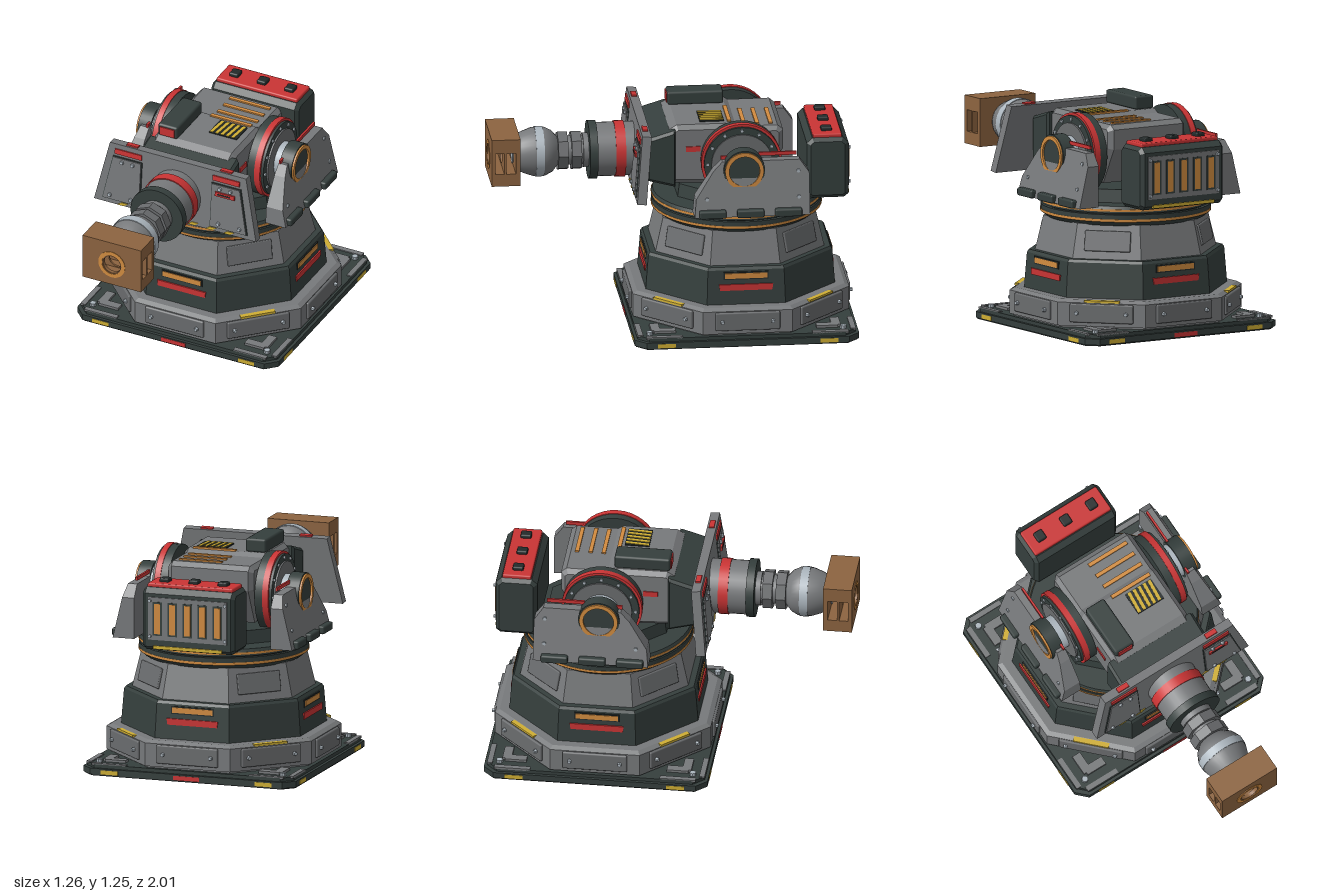
import * as THREE from 'three';
import { toCreasedNormals } from 'three/addons/utils/BufferGeometryUtils.js';
import { RoundedBoxGeometry } from 'three/addons/geometries/RoundedBoxGeometry.js';

const mat = (name, color) => Object.assign(new THREE.MeshStandardMaterial({ color }), { name });
const M = {
  gray: mat('armour gray', 0x77797b), pale: mat('panel gray', 0x6a6c6e), dark: mat('dark metal', 0x353f3d),
  black: mat('underside black', 0x232a2a), red: mat('red', 0xca3434), orange: mat('orange', 0xd28c40),
  yellow: mat('yellow', 0xcfae33), tan: mat('bronze', 0x8d6440), steel: mat('steel', 0xacb6be),
};
const PI = Math.PI;

function add(parent, name, geo, material, x = 0, y = 0, z = 0) {
  const m = new THREE.Mesh(geo, material);
  m.name = name;
  m.position.set(x, y, z);
  parent.add(m);
  return m;
}
function group(parent, name, x = 0, y = 0, z = 0) {
  const g = new THREE.Group();
  g.name = name;
  g.position.set(x, y, z);
  parent.add(g);
  return g;
}
const box = (p, n, m, w, h, d, x, y, z) => add(p, n, new THREE.BoxGeometry(w, h, d), m, x, y, z);
const soft = (p, n, m, w, h, d, x, y, z, r = 0.012) => add(p, n, new RoundedBoxGeometry(w, h, d, 1, r), m, x, y, z);

// Cylinder along a chosen axis, r0 at the low end and r1 at the high end
function cyl(p, n, m, r0, r1, len, axis, x, y, z, seg = 32) {
  let g = new THREE.CylinderGeometry(r1, r0, len, seg);
  if (axis === 'x') g.rotateZ(-PI / 2);
  if (axis === 'z') g.rotateX(PI / 2);
  if (seg < 12) { g = g.toNonIndexed(); g.computeVertexNormals(); }
  return add(p, n, g, m, x, y, z);
}
// Octagonal tier with flats facing the axes
function tier(p, n, m, a0, a1, y0, y1) {
  const k = Math.cos(PI / 8);
  const t = cyl(p, n, m, a0 / k, a1 / k, y1 - y0, 'y', 0, (y0 + y1) / 2, 0, 8);
  t.rotation.y = PI / 8;
}
const shape = (pts) => new THREE.Shape(pts.map(([x, y]) => new THREE.Vector2(x, y)));
const plate = (pts, depth) => new THREE.ExtrudeGeometry(shape(pts), { depth, bevelEnabled: false });
// Side profile given as (z, y), extruded across x and centred
function across(pts, width, bevel = 0) {
  const g = new THREE.ExtrudeGeometry(shape(pts.map(([z, y]) => [-z, y])), {
    depth: width - 2 * bevel, bevelEnabled: bevel > 0, bevelSize: bevel, bevelThickness: bevel, bevelOffset: -bevel, bevelSegments: 1 });
  return g.rotateY(PI / 2).translate(bevel - width / 2, 0, 0);
}
const ringGeo = (ro, ri, depth) => {
  const s = new THREE.Shape().absarc(0, 0, ro, 0, PI * 2);
  s.holes.push(new THREE.Path().absarc(0, 0, ri, 0, PI * 2, true));
  return new THREE.ExtrudeGeometry(s, { depth, bevelEnabled: false, curveSegments: 24 });
};

function buildBase(root) {
  const b = group(root, 'base', 0, 0, -0.375);
  // Square foot plate with clipped corners
  const square = (h, c) => [[-h + c, -h], [h - c, -h], [h, -h + c], [h, h - c], [h - c, h], [-h + c, h], [-h, h - c], [-h, -h + c]];
  add(b, 'underside', plate(square(0.615, 0.06), 0.008).rotateX(-PI / 2), M.black, 0, 0.003, 0);
  add(b, 'footPlate', plate(square(0.622, 0.06), 0.034).rotateX(-PI / 2), M.dark, 0, 0.01, 0);
  add(b, 'footPlateTop', plate(square(0.605, 0.06), 0.02).rotateX(-PI / 2), M.dark, 0, 0.044, 0);
  add(b, 'undersideRing', ringGeo(0.19, 0.16, 0.004).rotateX(PI / 2), M.orange, 0, 0.004, 0);
  cyl(b, 'undersideCap', M.pale, 0.07, 0.07, 0.004, 'y', 0, 0.002, 0);
  // Tiers
  tier(b, 'lowerSkirt', M.gray, 0.58, 0.58, 0.06, 0.075);
  tier(b, 'lowerTier', M.gray, 0.6, 0.6, 0.075, 0.205);
  tier(b, 'lowerTierCap', M.gray, 0.6, 0.575, 0.205, 0.22);
  tier(b, 'middleTier', M.dark, 0.525, 0.51, 0.22, 0.415);
  tier(b, 'middleTierCap', M.dark, 0.51, 0.5, 0.415, 0.43);
  tier(b, 'upperTier', M.gray, 0.468, 0.425, 0.43, 0.62);
  for (let k = 0; k < 8; k++) {
    const f = group(b, 'baseFace');
    f.rotation.y = k * PI / 4;
    soft(f, 'skirtPanel', M.pale, 0.36, 0.105, 0.03, 0, 0.148, 0.599, 0.008);
    for (const s of [-1, 1]) cyl(f, 'panelBolt', M.steel, 0.013, 0.01, 0.02, 'z', s * 0.14, 0.148, 0.62, 6);
    if (k % 2) {
      box(f, 'edgeStripe', M.yellow, 0.2, 0.012, 0.03, 0, 0.213, 0.59);
      const p = soft(f, 'upperPanel', M.pale, 0.26, 0.115, 0.02, 0, 0.528, 0.447, 0.006);
      p.rotation.x = -0.22;
      cyl(f, 'footBolt', M.steel, 0.018, 0.018, 0.02, 'y', 0, 0.072, 0.76, 8);
      cyl(f, 'undersideBolt', M.dark, 0.022, 0.022, 0.004, 'y', 0, 0.002, 0.6, 12);
    } else {
      add(f, 'redMark', plate([[-0.15, 0.335], [-0.145, 0.3], [0.145, 0.3], [0.15, 0.335]], 0.012), M.red, 0, 0, 0.512);
      box(f, 'slotFrame', M.black, 0.25, 0.044, 0.01, 0, 0.383, 0.512);
      box(f, 'orangeSlot', M.orange, 0.235, 0.03, 0.014, 0, 0.383, 0.514);
      if (k === 0 || k === 4) box(f, 'plateRedMark', M.red, 0.15, 0.025, 0.006, 0, 0.024, 0.621);
      for (const s of [-1, 1]) {
        box(f, 'plateYellowMark', M.yellow, 0.1, 0.024, 0.006, s * 0.45, 0.024, 0.621);
        box(f, 'plateTrim', M.gray, 0.2, 0.012, 0.03, s * 0.46, 0.064, 0.59);
        box(f, 'skirtFoot', M.gray, 0.12, 0.02, 0.05, s * 0.45, 0.068, 0.5);
      }
    }
  }
  // Slewing ring
  const rings = [[0.44, 0.47, 0.615, 0.64, 'dark'], [0.472, 0.472, 0.64, 0.654, 'orange'], [0.47, 0.47, 0.654, 0.68, 'dark'],
    [0.45, 0.45, 0.68, 0.688, 'black'], [0.47, 0.47, 0.688, 0.698, 'dark'], [0.472, 0.472, 0.698, 0.71, 'orange'], [0.47, 0.462, 0.71, 0.727, 'dark']];
  for (const [r0, r1, y0, y1, m] of rings) cyl(b, 'slewingRing', M[m], r0, r1, y1 - y0, 'y', 0, (y0 + y1) / 2, 0, 56);
  tier(b, 'turretDeck', M.dark, 0.34, 0.33, 0.727, 0.8);
}

function buildSide(turret, s) {
  const g = group(turret, s > 0 ? 'leftSide' : 'rightSide');
  // Elevation wheel and hub
  const wheel = [[0.22, 0.255, 0.3, 'dark'], [0.224, 0.3, 0.335, 'red'], [0.21, 0.33, 0.35, 'dark'], [0.17, 0.35, 0.36, 'pale'],
    [0.1, 0.36, 0.4, 'steel'], [0.115, 0.4, 0.475, 'dark']];
  for (const [r, x0, x1, m] of wheel) cyl(g, 'elevationWheel', M[m], r, r, x1 - x0, 'x', s * (x0 + x1) / 2, 0.98, -0.37, 36);
  add(g, 'hubRing', ringGeo(0.107, 0.085, 0.012).rotateY(PI / 2), M.orange, s * 0.48 - 0.006, 0.98, -0.37);
  for (let i = 0; i < 12; i++) {
    const a = i * PI / 6;
    cyl(g, 'wheelBolt', M.steel, 0.01, 0.01, 0.01, 'x', s * 0.353, 0.98 + 0.19 * Math.sin(a), -0.37 + 0.19 * Math.cos(a), 6);
  }
  // Cheek bracket whose outer face leans inwards
  const outer = (y) => 0.525 - (y - 0.73) * 0.24;
  const geo = across([[-0.09, 0.73], [-0.1, 0.83], [-0.2, 0.98], [-0.25, 1.03], [-0.68, 1.03], [-0.73, 0.96], [-0.73, 0.73]], 1, 0);
  const p = geo.attributes.position;
  for (let i = 0; i < p.count; i++) {
    const u = p.getX(i) + 0.5, o = outer(p.getY(i));
    p.setX(i, s > 0 ? 0.4 + (o - 0.4) * u : -o + (o - 0.4) * u);
  }
  geo.computeVertexNormals();
  add(g, 'cheekBracket', geo, M.gray);
  for (const z of [-0.19, -0.4, -0.61]) soft(g, 'bracketClip', M.dark, 0.045, 0.045, 0.15, s * 0.525, 0.75, z, 0.01);
  for (const [z, y] of [[-0.16, 0.83], [-0.67, 0.83], [-0.67, 0.97]])
    cyl(g, 'bracketBolt', M.steel, 0.011, 0.011, 0.014, 'x', s * outer(y), y, z, 6);
  box(g, 'redRail', M.red, 0.012, 0.02, 0.21, s * 0.41, 1.055, -0.56);
  box(g, 'redRail', M.red, 0.012, 0.02, 0.11, s * 0.41, 1.04, -0.3);
  box(g, 'bodyRedStripe', M.red, 0.008, 0.03, 0.08, s * 0.252, 1.04, -0.11);
}

function buildShield(turret) {
  const g = group(turret, 'shield', 0, 0.995, 0.182);
  g.rotation.x = -0.1;
  const F = 0.026;
  add(g, 'shieldPlate', plate([[-0.5, -0.185], [0.5, -0.185], [0.42, 0.185], [-0.42, 0.185]], 2 * F), M.gray, 0, 0, -F);
  for (const s of [-1, 1]) {
    const mirror = (pts) => pts.map(([x, y]) => [s * x, y]);
    add(g, 'shieldPanelEdge', plate(mirror([[0.215, -0.16], [0.448, -0.16], [0.395, 0.112], [0.215, 0.112]]), 0.006), M.dark, 0, 0, F);
    add(g, 'shieldPanel', plate(mirror([[0.22, -0.155], [0.442, -0.155], [0.39, 0.107], [0.22, 0.107]]), 0.012), M.gray, 0, 0, F);
    box(g, 'redBar', M.red, 0.165, 0.03, 0.012, s * 0.302, 0.142, F + 0.002);
    box(g, 'topRedTab', M.red, 0.07, 0.012, 0.03, s * 0.29, 0.187, 0);
    for (const [x, y] of [[0.27, 0.085], [0.335, 0.085], [0.27, -0.13], [0.4, -0.13]])
      cyl(g, 'shieldBolt', M.steel, 0.013, 0.01, 0.016, 'z', s * x, y, F + 0.015, 8);
    for (const x of [0.08, 0.19, 0.3])
      add(g, 'hazardStripe', plate([[0, -0.183], [0.04, -0.183], [0.065, -0.166], [0.025, -0.166]], 0.005), M.yellow, s > 0 ? x : -x - 0.055, 0, F);
  }
  box(g, 'redLatch', M.red, 0.12, 0.025, 0.02, 0.305, 0.055, F + 0.012);
  box(g, 'latchSlot', M.black, 0.08, 0.008, 0.022, 0.3, 0.055, F + 0.013);
}

function buildBody(turret) {
  add(turret, 'gunHousing', across([[0.02, 0.84], [0.02, 1.15], [-0.02, 1.175], [-0.32, 1.175], [-0.35, 1.155], [-0.58, 1.155], [-0.61, 1.13], [-0.61, 1.02], [-0.5, 0.82]], 0.5, 0.025), M.gray);
  add(turret, 'mantlet', across([[0.15, 0.87], [0.15, 1.11], [0.0, 1.155], [-0.01, 1.155], [-0.01, 0.83], [0.0, 0.83]], 0.56, 0.015), M.dark);
  for (let i = 0; i < 4; i++) box(turret, 'ventSlot', M.orange, 0.25, 0.01, 0.022, 0.075, i ? 1.158 : 1.178, [-0.315, -0.397, -0.47, -0.545][i]);
  // Hazard patch
  box(turret, 'hazardPatch', M.black, 0.17, 0.006, 0.135, 0.105, 1.178, -0.22);
  for (let i = 0; i < 5; i++)
    add(turret, 'hazardBar', plate([[0, -0.065], [0.018, -0.065], [0.03, 0.065], [0.012, 0.065]], 0.005).rotateX(-PI / 2), M.yellow, 0.022 + i * 0.033, 1.179, -0.22);
  // Sight box
  soft(turret, 'sightBox', M.dark, 0.12, 0.075, 0.31, -0.163, 1.212, -0.16, 0.012);
  box(turret, 'sightWindow', M.red, 0.09, 0.05, 0.008, -0.163, 1.21, -0.003);
}

function buildRearBox(turret) {
  const g = group(turret, 'rearBox', 0, 0, -0.855);
  add(g, 'case', across([[0.115, 0.75], [0.115, 1.05], [0.085, 1.08], [-0.085, 1.08], [-0.115, 1.05], [-0.115, 0.75], [-0.09, 0.73], [0.09, 0.73]], 0.54, 0.02), M.dark);
  soft(g, 'redLid', M.red, 0.5, 0.03, 0.16, 0, 1.085, 0, 0.008);
  for (const x of [-0.17, 0, 0.17]) soft(g, 'lidKnob', M.black, 0.055, 0.03, 0.06, x, 1.105, 0, 0.008);
  box(g, 'backPanel', M.gray, 0.46, 0.24, 0.012, 0, 0.91, -0.115);
  for (let i = -2; i <= 2; i++) {
    box(g, 'ventFrame', M.dark, 0.056, 0.19, 0.008, i * 0.088, 0.91, -0.12);
    box(g, 'ventOrange', M.orange, 0.036, 0.17, 0.01, i * 0.088, 0.91, -0.122);
  }
  for (const x of [-0.22, 0.22]) for (const y of [0.81, 1.01]) cyl(g, 'caseBolt', M.steel, 0.01, 0.01, 0.014, 'z', x, y, -0.124, 6);
  box(g, 'rearStripe', M.yellow, 0.4, 0.018, 0.012, 0, 0.748, -0.117);
}

function buildBarrel(turret) {
  const g = group(turret, 'barrel', 0, 0.97, 0);
  const parts = [['sleeve', 'gray', 0.15, 0.15, 0.15, 0.42], ['sleeveBand', 'red', 0.156, 0.156, 0.25, 0.305], ['flange', 'dark', 0.162, 0.162, 0.405, 0.45],
    ['neck', 'gray', 0.08, 0.08, 0.44, 0.65], ['nut', 'pale', 0.11, 0.11, 0.49, 0.545, 8], ['nut', 'pale', 0.11, 0.11, 0.565, 0.62, 8], ['nutCollar', 'gray', 0.095, 0.095, 0.45, 0.48]];
  for (const [n, m, r0, r1, z0, z1, seg] of parts) cyl(g, n, M[m], r0, r1, z1 - z0, 'z', 0, 0, (z0 + z1) / 2, seg || 32);
  const bulb = [[0.001, 0.62], [0.08, 0.62], [0.115, 0.65], [0.135, 0.69], [0.135, 0.76], [0.115, 0.815], [0.1, 0.845], [0.001, 0.845]];
  const lathe = new THREE.LatheGeometry(bulb.map(([r, z]) => new THREE.Vector2(r, z)), 32).rotateX(PI / 2);
  add(g, 'bulb', toCreasedNormals(lathe, 0.5), M.gray);
  cyl(g, 'bulbBand', M.steel, 0.139, 0.139, 0.045, 'z', 0, 0, 0.722);
  // Muzzle block with open side ports and a central bore
  const w = 0.36;
  box(g, 'muzzleTop', M.tan, w, 0.08, 0.16, 0, 0.095, 0.92);
  box(g, 'muzzleBottom', M.tan, w, 0.07, 0.16, 0, -0.1, 0.92);
  const wall = shape([[-w / 2, -0.065], [w / 2, -0.065], [w / 2, 0.055], [-w / 2, 0.055]]);
  wall.holes.push(new THREE.Path().absarc(0, -0.005, 0.054, 0, PI * 2, true));
  for (const [z, d] of [[0.978, 0.022], [0.918, 0.012]])
    add(g, 'muzzleWall', new THREE.ExtrudeGeometry(wall, { depth: d, bevelEnabled: false, curveSegments: 24 }), M.tan, 0, 0, z);
  box(g, 'muzzleBack', M.tan, w, 0.12, 0.026, 0, -0.005, 0.853);
  cyl(g, 'bore', M.steel, 0.056, 0.056, 0.006, 'z', 0, -0.005, 0.868);
  add(g, 'muzzleRing', ringGeo(0.082, 0.06, 0.006), M.orange, 0, -0.005, 0.997);
}

export function createModel() {
  const root = new THREE.Group();
  root.name = 'turretGun';
  buildBase(root);
  const turret = group(root, 'turret');
  for (const s of [-1, 1]) buildSide(turret, s);
  buildShield(turret);
  buildBody(turret);
  buildRearBox(turret);
  buildBarrel(turret);
  return root;
}
